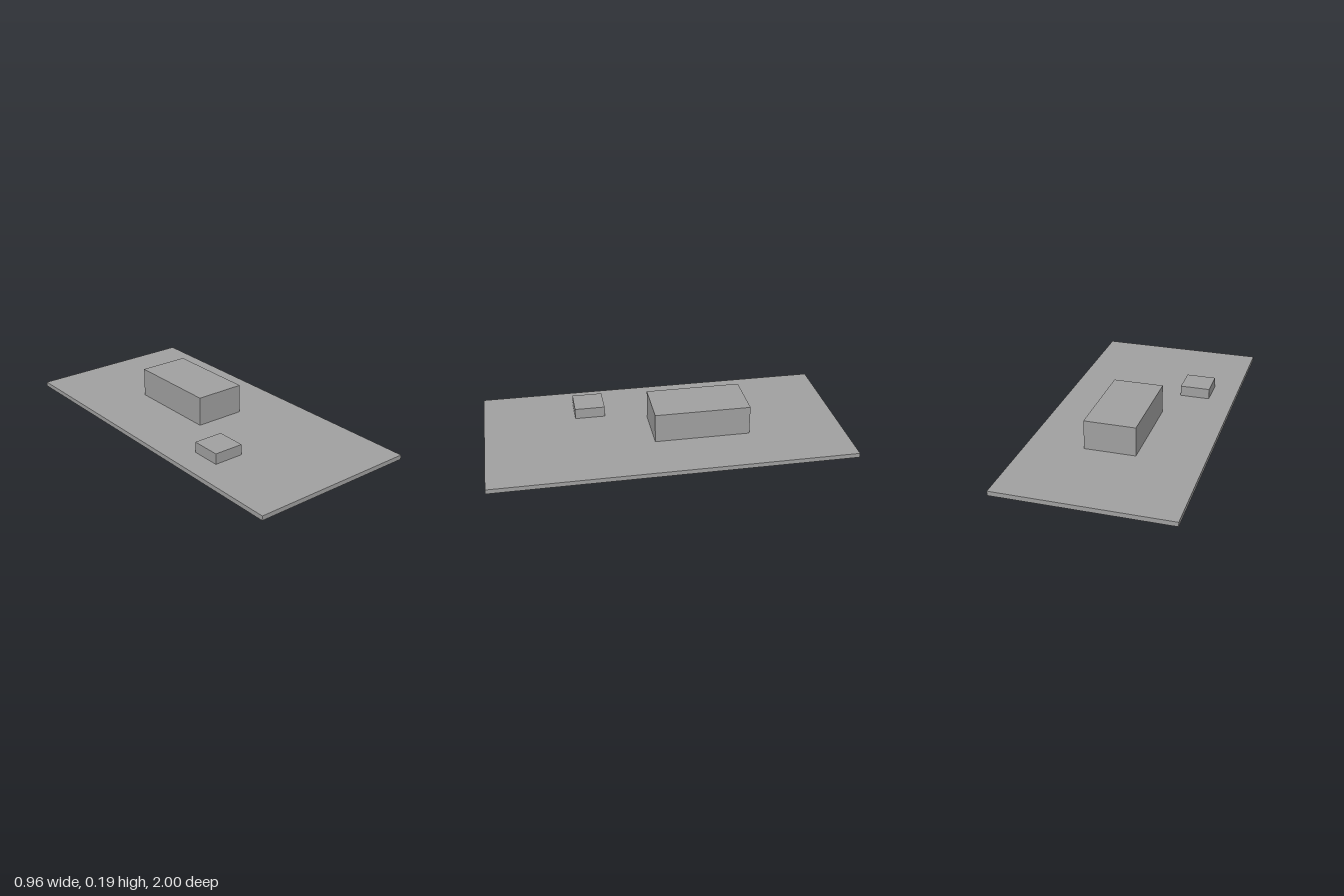
import * as THREE from 'three';

export function createModel() {
  const model = new THREE.Group();
  const grey = new THREE.MeshStandardMaterial({ color: 0xa0a0a0 });
  grey.name = 'grey';

  // Box given by its lower and upper corners
  const addBox = (name, [x0, y0, z0], [x1, y1, z1]) => {
    const mesh = new THREE.Mesh(new THREE.BoxGeometry(x1 - x0, y1 - y0, z1 - z0), grey);
    mesh.position.set((x0 + x1) / 2, (y0 + y1) / 2, (z0 + z1) / 2);
    mesh.name = name;
    model.add(mesh);
  };

  // Thin ground slab
  addBox('baseSlab', [-0.482, 0, -1], [0.482, 0.025, 1]);
  // Large block towards the back
  addBox('largeBlock', [-0.118, 0.025, -0.465], [0.168, 0.19, 0.07]);
  // Small block at the front right
  addBox('smallBlock', [-0.336, 0.025, 0.309], [-0.166, 0.085, 0.48]);

  return model;
}
